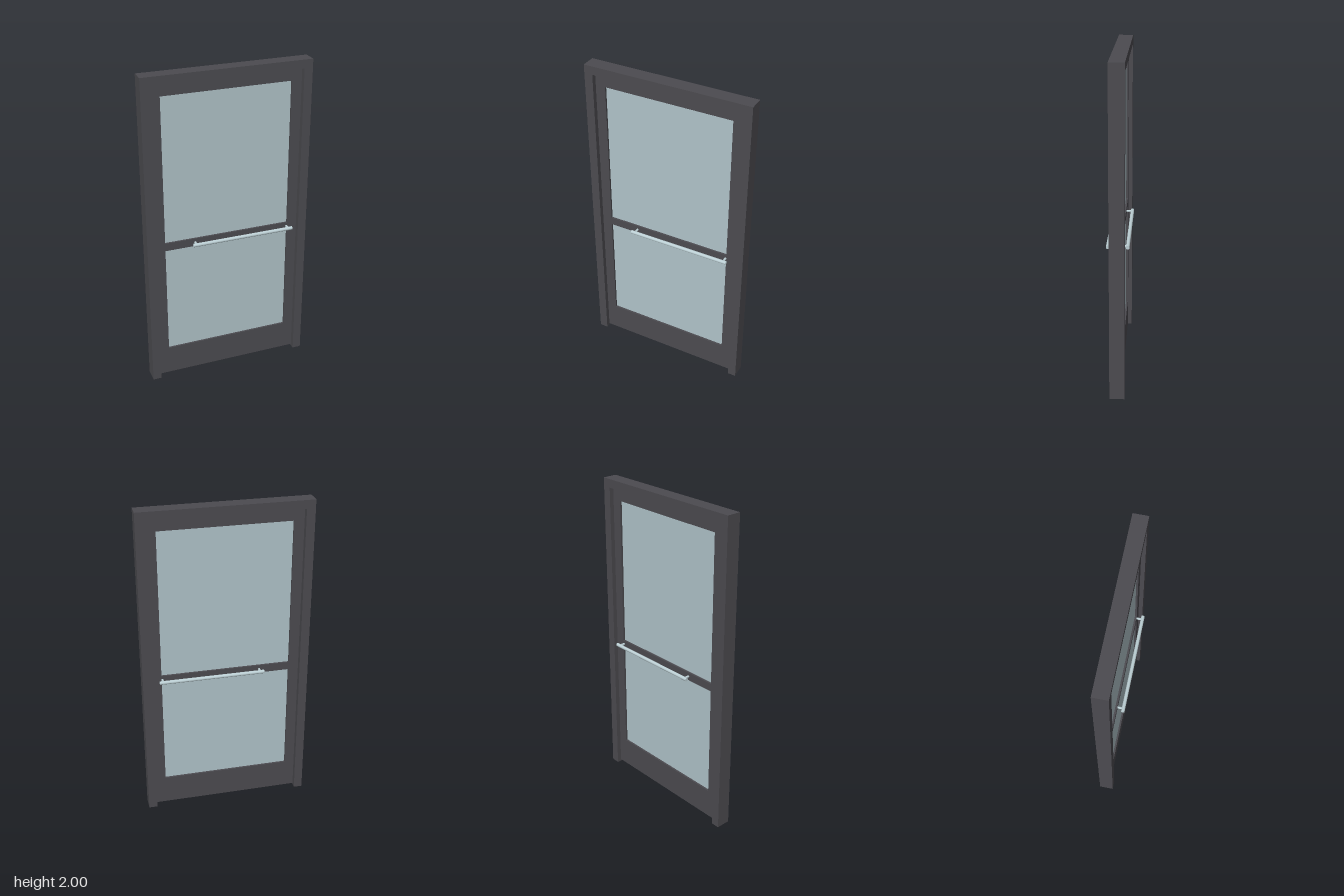
import * as THREE from 'three';

export function createModel() {
  const model = new THREE.Group();
  model.name = 'glazedDoor';

  const frameMat = new THREE.MeshStandardMaterial({ color: 0x4c4b50 });
  frameMat.name = 'dark frame';
  const glassMat = new THREE.MeshStandardMaterial({ color: 0xb0c3c9 });
  glassMat.name = 'pale glass';
  const handleMat = new THREE.MeshStandardMaterial({ color: 0xbccfd4 });
  handleMat.name = 'pale handle';

  const add = (parent, name, geometry, material) => {
    const mesh = new THREE.Mesh(geometry, material);
    mesh.name = name;
    parent.add(mesh);
    return mesh;
  };

  // Outer frame: two jambs and a head in one piece, open at the floor
  const depth = 0.09;
  const outline = new THREE.Shape([
    [-0.518, 0], [-0.465, 0], [-0.465, 1.948], [0.465, 1.948],
    [0.465, 0], [0.518, 0], [0.518, 2], [-0.518, 2],
  ].map(([x, y]) => new THREE.Vector2(x, y)));
  const frameGeo = new THREE.ExtrudeGeometry(outline, { depth, bevelEnabled: false });
  frameGeo.translate(0, 0, -depth / 2);
  add(model, 'outerFrame', frameGeo, frameMat);

  // Door leaf: stiles and rails, set back from the frame faces
  const door = new THREE.Group();
  door.name = 'doorLeaf';
  model.add(door);
  const leaf = 0.04;
  const bar = (name, x0, x1, y0, y1, thick, material) => {
    const mesh = add(door, name, new THREE.BoxGeometry(x1 - x0, y1 - y0, thick), material);
    mesh.position.set((x0 + x1) / 2, (y0 + y1) / 2, 0);
  };
  bar('rightStile', -0.462, -0.4, 0.015, 1.94, leaf, frameMat);
  bar('leftStile', 0.4, 0.462, 0.015, 1.94, leaf, frameMat);
  bar('bottomRail', -0.4, 0.4, 0.015, 0.2, leaf, frameMat);
  bar('middleRail', -0.4, 0.4, 0.905, 0.955, leaf, frameMat);
  bar('topRail', -0.4, 0.4, 1.875, 1.94, leaf, frameMat);

  // Glass panes
  bar('lowerGlass', -0.4, 0.4, 0.2, 0.905, 0.016, glassMat);
  bar('upperGlass', -0.4, 0.4, 0.955, 1.875, 0.016, glassMat);

  // Push bar on each face, held by two short posts
  for (const side of [1, -1]) {
    const handle = new THREE.Group();
    handle.name = side > 0 ? 'frontHandle' : 'backHandle';
    handle.position.set(0, 0.93, 0);
    model.add(handle);

    const rod = add(handle, 'handleBar', new THREE.CylinderGeometry(0.011, 0.011, 0.65, 24), handleMat);
    rod.rotation.z = Math.PI / 2;
    rod.position.set(0.092, 0, side * 0.057);

    for (const x of [-0.21, 0.395]) {
      const post = add(handle, 'handlePost', new THREE.CylinderGeometry(0.007, 0.007, 0.038, 16), handleMat);
      post.rotation.x = Math.PI / 2;
      post.position.set(x, 0, side * 0.038);
    }
  }

  return model;
}
